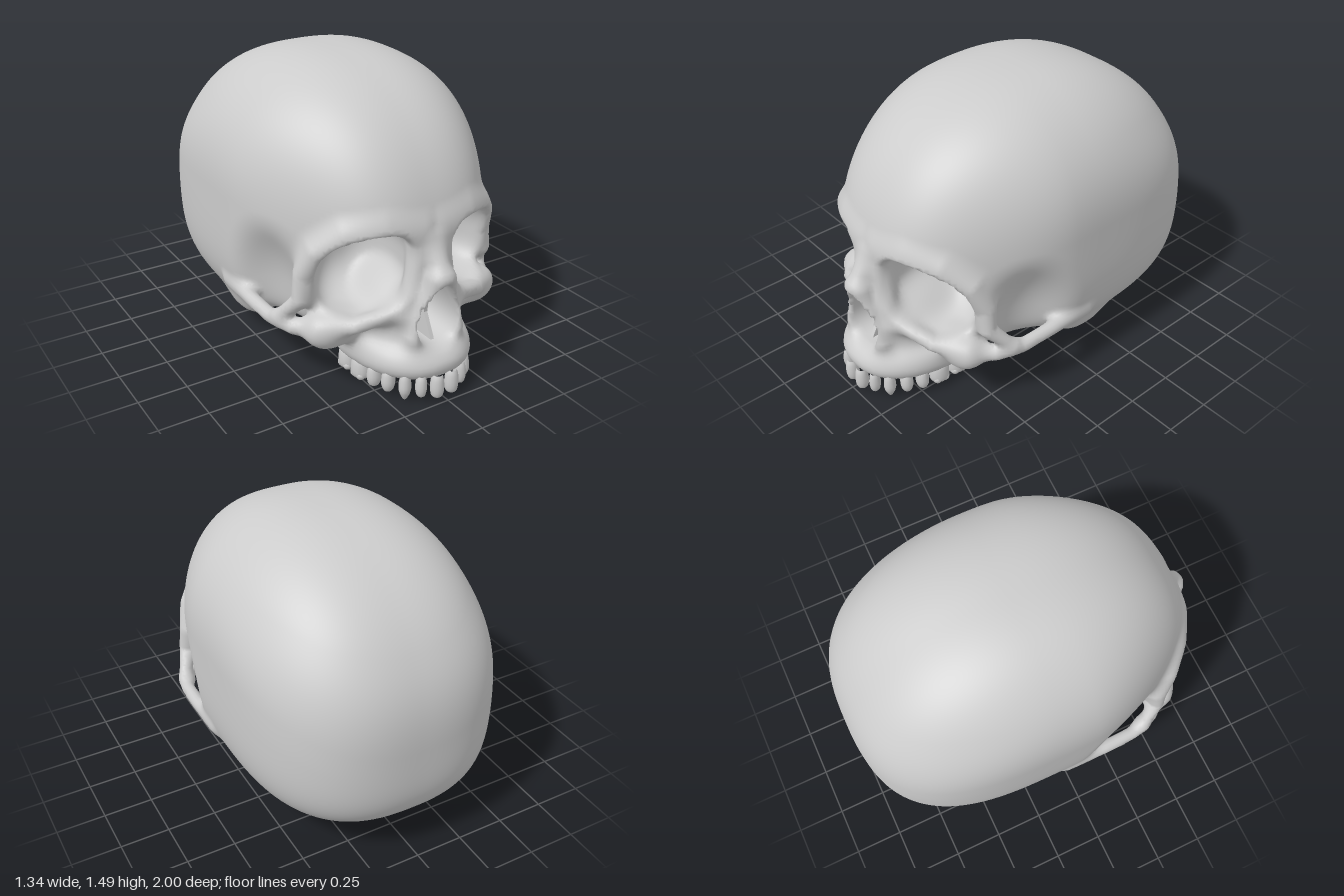
import * as THREE from 'three';

const bone = new THREE.MeshStandardMaterial({ color: 0xcccccc, roughness: 0.8 });

// ---- sculpting helpers: signed distances, negative inside ----
const { clamp, lerp, smoothstep } = THREE.MathUtils;
const join = (a, b, k) => Math.min(a, b) - Math.max(k - Math.abs(a - b), 0) ** 2 / (4 * k);
const keep = (a, b, k) => -join(-a, -b, k);
const carve = (a, b, k) => keep(a, -b, k);

function ellipsoid(x, y, z, c, r) {
  const a = (x - c[0]) / r[0], b = (y - c[1]) / r[1], e = (z - c[2]) / r[2];
  const k0 = Math.hypot(a, b, e), k1 = Math.hypot(a / r[0], b / r[1], e / r[2]);
  return k1 < 1e-6 ? -Math.min(...r) : k0 * (k0 - 1) / k1;
}

// rounded bar through a list of points
function bar(x, y, z, pts, r) {
  let best = 9;
  for (let i = 0; i + 1 < pts.length; i++) {
    const [p, q] = [pts[i], pts[i + 1]];
    const ux = q[0] - p[0], uy = q[1] - p[1], uz = q[2] - p[2];
    const t = clamp(((x - p[0]) * ux + (y - p[1]) * uy + (z - p[2]) * uz) / (ux * ux + uy * uy + uz * uz), 0, 1);
    best = Math.min(best, Math.hypot(x - p[0] - t * ux, y - p[1] - t * uy, z - p[2] - t * uz));
  }
  return best - r;
}

const BROW_RIM = [[0.06, 0.82, 0.78], [0.22, 0.845, 0.755], [0.38, 0.815, 0.69], [0.49, 0.73, 0.61], [0.53, 0.6, 0.55], [0.545, 0.48, 0.55], [0.595, 0.37, 0.45]];
const LOWER_RIM = [[0.19, 0.43, 0.8], [0.36, 0.375, 0.74], [0.48, 0.36, 0.63]];
const MEDIAL_RIM = [[0.06, 0.72, 0.8], [0.14, 0.42, 0.82]];
const NASAL_RIDGE = [[0, 0.76, 0.82], [0, 0.62, 0.925]];
const NASAL_EDGE = [[0.03, 0.6, 0.915], [0.12, 0.32, 0.88]];
const CHEEK_ARCH = [[0.47, 0.335, 0.61], [0.56, 0.33, 0.52], [0.612, 0.345, 0.38], [0.62, 0.355, 0.2], [0.61, 0.355, -0.02]];

// brain case: an egg with a different roundness for each side, widest above its middle
function cranium(x, y, z) {
  const a = 0.67 - 0.09 * smoothstep(z, 0.1, 0.78);
  const mid = 0.65 + 0.2 * Math.min(x / 0.67, 1.1) ** 2;
  const dy = y - mid, dz = z + 0.07;
  const nz = dz > 0 ? 2.35 : lerp(3, 2.05, smoothstep(dy, -0.15, 0.45));
  const fy = dy > 0 ? (dy / (1.49 - mid)) ** 2.2 : (-dy / (mid - 0.085)) ** 4.3;
  return (((x / a) ** 2.7 + fy + (Math.abs(dz) / 0.93) ** nz) ** 0.4 - 1) * 0.6;
}

// eye socket, leaning down to the side and narrowing inward
function orbit(x, y, z) {
  const cx = 0.308 - 0.15 * (0.78 - z), dy = y - 0.615 + 0.2 * (x - 0.31);
  const n = (Math.abs(x - cx) / 0.217) ** 2.6 + (Math.abs(dy) / 0.205) ** 2.6 + (Math.abs(z - 0.78) / 0.36) ** 2.6;
  return (n ** (1 / 2.6) - 1) * 0.2;
}

// horseshoe that carries the teeth
function alveolarRidge(x, y, z) {
  const plan = ((x / 0.32) ** 2.3 + (Math.abs(z - 0.5) / 0.48) ** 2.3) ** (1 / 2.3);
  const slab = keep((plan - 1) * 0.31, Math.abs(y - 0.17) - 0.075, 0.08);
  return keep(slab, 0.46 - z, 0.08);
}

function nasalOpening(x, y, z) {
  const w = Math.max(0.106 - 0.25 * (y - 0.42), 0.03);
  return keep((Math.hypot(x / w, (y - 0.42) / 0.165) - 1) * 0.1, 0.66 - z, 0.04);
}

function skull(sx, y, z) {
  const x = Math.abs(sx);
  let d = cranium(x, y, z);
  // stepped base, temporal hollow, eye socket
  const base = lerp(-0.05, 0.23, smoothstep(z, -0.24, 0.2)) + 0.6 * Math.max(0, z - 0.6);
  d = keep(d, base - y, 0.15);
  d = carve(d, ellipsoid(x, y, z, [0.66, 0.4, 0.37], [0.175, 0.3, 0.18]), 0.16);
  d = join(d, bar(x, y, z, BROW_RIM, 0.033), 0.1);
  d = carve(d, orbit(x, y, z), 0.03);
  // cheekbone and arch running back to the ear
  d = join(d, bar(x, y, z, LOWER_RIM, 0.033), 0.05);
  d = join(d, ellipsoid(x, y, z, [0.42, 0.32, 0.62], [0.12, 0.085, 0.085]), 0.07);
  d = join(d, bar(x, y, z, CHEEK_ARCH, 0.036), 0.05);
  // nose and upper jaw
  d = join(d, bar(x, y, z, MEDIAL_RIM, 0.035), 0.05);
  d = join(d, bar(x, y, z, NASAL_RIDGE, 0.043), 0.06);
  d = join(d, bar(x, y, z, NASAL_EDGE, 0.033), 0.06);
  d = join(d, ellipsoid(x, y, z, [0, 0.33, 0.6], [0.25, 0.25, 0.295]), 0.07);
  d = join(d, alveolarRidge(x, y, z), 0.1);
  d = carve(d, ellipsoid(x, y, z, [0, 0.07, 0.6], [0.2, 0.13, 0.3]), 0.03);
  d = carve(d, nasalOpening(x, y, z), 0.02);
  // bump behind the ear and opening in the base
  d = join(d, ellipsoid(x, y, z, [0.46, 0.17, -0.14], [0.07, 0.075, 0.15]), 0.1);
  return carve(d, ellipsoid(x, y, z, [0, 0.08, -0.2], [0.15, 0.12, 0.18]), 0.03);
}

// skin a distance function with quads; returns one geometry per region
function skin(f, min, max, h, regionOf, regions) {
  const n = min.map((m, i) => Math.ceil((max[i] - m) / h) + 1);
  const step = [1, n[0], n[0] * n[1]];
  const val = new Float32Array(n[0] * n[1] * n[2]);
  const each = (lo, fn) => {
    for (let k = lo; k < n[2] - 1; k++) for (let j = lo; j < n[1] - 1; j++) for (let i = lo; i < n[0] - 1; i++)
      fn([i, j, k], i + j * step[1] + k * step[2]);
  };
  for (let k = 0, id = 0; k < n[2]; k++) for (let j = 0; j < n[1]; j++) for (let i = 0; i < n[0]; i++)
    val[id++] = f(min[0] + i * h, min[1] + j * h, min[2] + k * h);

  // one point in every cell the surface crosses
  const cell = new Int32Array(val.length).fill(-1), pos = [], nor = [];
  each(0, (p, id) => {
    const sum = [0, 0, 0];
    let hits = 0;
    for (let c = 0; c < 8; c++) for (let d = 0; d < 3; d++) {
      if (c >> d & 1) continue;
      const o = [c & 1, c >> 1 & 1, c >> 2 & 1];
      const s = id + o[0] + o[1] * step[1] + o[2] * step[2];
      const v0 = val[s], v1 = val[s + step[d]];
      if (v0 < 0 === v1 < 0) continue;
      o[d] += v0 / (v0 - v1);
      hits++;
      for (let a = 0; a < 3; a++) sum[a] += o[a];
    }
    if (!hits) return;
    const q = sum.map((s, a) => min[a] + (p[a] + s / hits) * h), e = 0.006;
    const g = new THREE.Vector3(
      f(q[0] + e, q[1], q[2]) - f(q[0] - e, q[1], q[2]),
      f(q[0], q[1] + e, q[2]) - f(q[0], q[1] - e, q[2]),
      f(q[0], q[1], q[2] + e) - f(q[0], q[1], q[2] - e)).normalize();
    cell[id] = pos.length / 3;
    pos.push(...q);
    nor.push(g.x, g.y, g.z);
  });

  // a quad around every crossed grid edge
  const faces = Array.from({ length: regions }, () => []);
  each(1, (p, id) => {
    for (let d = 0; d < 3; d++) {
      const inside = val[id] < 0;
      if (inside === val[id + step[d]] < 0) continue;
      const u = step[(d + 1) % 3], v = step[(d + 2) % 3];
      const q = [id - u - v, id - v, id, id - u].map((c) => cell[c]);
      if (!inside) q.reverse();
      faces[regionOf(...p.map((c, a) => min[a] + c * h))].push(q[0], q[1], q[2], q[0], q[2], q[3]);
    }
  });

  return faces.map((list) => {
    const map = new Map(), P = [], N = [];
    const index = list.map((i) => {
      if (!map.has(i)) {
        map.set(i, map.size);
        for (let a = 0; a < 3; a++) { P.push(pos[i * 3 + a]); N.push(nor[i * 3 + a]); }
      }
      return map.get(i);
    });
    const g = new THREE.BufferGeometry();
    g.setAttribute('position', new THREE.Float32BufferAttribute(P, 3));
    g.setAttribute('normal', new THREE.Float32BufferAttribute(N, 3));
    return g.setIndex(index);
  });
}

function add(parent, name, geometry) {
  const mesh = new THREE.Mesh(geometry, bone);
  mesh.name = name;
  parent.add(mesh);
  return mesh;
}

// crown from tip (y = 0) to gum (y = 1), unit radius
function crown(tip) {
  const pts = [[0, 0], [tip, 0.08], [1, 0.4], [0.9, 0.8], [0.65, 1]].map((p) => new THREE.Vector2(...p));
  const path = new THREE.SplineCurve(pts).getPoints(12);
  path.forEach((p) => { p.x = Math.max(p.x, 0); });
  return new THREE.LatheGeometry(path, 14);
}

// name, x, z, lowest y, half width, half depth, turn, tip bluntness
const TEETH = [
  ['centralIncisor', 0.042, 0.965, 0.015, 0.034, 0.034, 0.1, 0.75],
  ['lateralIncisor', 0.113, 0.935, 0.025, 0.028, 0.032, 0.45, 0.7],
  ['canine', 0.17, 0.885, 0, 0.03, 0.034, 0.8, 0.4],
  ['firstPremolar', 0.217, 0.815, 0.025, 0.033, 0.037, 1.1, 0.65],
  ['secondPremolar', 0.246, 0.74, 0.025, 0.034, 0.039, 1.3, 0.7],
  ['firstMolar', 0.257, 0.642, 0.025, 0.054, 0.048, 1.45, 0.85],
  ['secondMolar', 0.262, 0.535, 0.025, 0.052, 0.048, 1.5, 0.85],
];

export function createModel() {
  const model = new THREE.Group();
  model.name = 'skull';

  // skull bone, divided into brain case and face
  const isFace = (x, y, z) => (z > 0.48 && y < 0.84 ? 1 : 0);
  const [caseGeo, faceGeo] = skin(skull, [-0.73, 0, -1.05], [0.73, 1.56, 1.05], 0.02, isFace, 2);
  add(model, 'cranium', caseGeo);
  add(model, 'face', faceGeo);

  // thin wall inside the nose
  const wall = new THREE.Shape([[0.62, 0.26], [0.86, 0.26], [0.8, 0.38], [0.82, 0.54], [0.62, 0.54]]
    .map((p) => new THREE.Vector2(...p)));
  const septum = new THREE.ExtrudeGeometry(wall, { depth: 0.02, bevelEnabled: false });
  add(model, 'nasalSeptum', septum.translate(0, 0, -0.01).rotateY(-Math.PI / 2));

  const teeth = new THREE.Group();
  teeth.name = 'upperTeeth';
  model.add(teeth);

  for (const [side, s] of [['left', 1], ['right', -1]]) {
    for (const [name, x, z, low, w, depth, turn, tip] of TEETH) {
      const tooth = new THREE.Group();
      tooth.name = side + name[0].toUpperCase() + name.slice(1);
      tooth.position.set(s * x, low, z);
      tooth.rotation.y = s * turn;
      add(tooth, 'crown', crown(tip)).scale.set(w, 0.14 - low, depth);
      if (name.endsWith('Molar')) {
        for (const cx of [-1, 1]) for (const cz of [-1, 1])
          add(tooth, 'cusp', new THREE.SphereGeometry(0.026, 12, 8)).position.set(cx * 0.02, 0.022, cz * 0.018);
      }
      teeth.add(tooth);
    }
  }
  return model;
}
